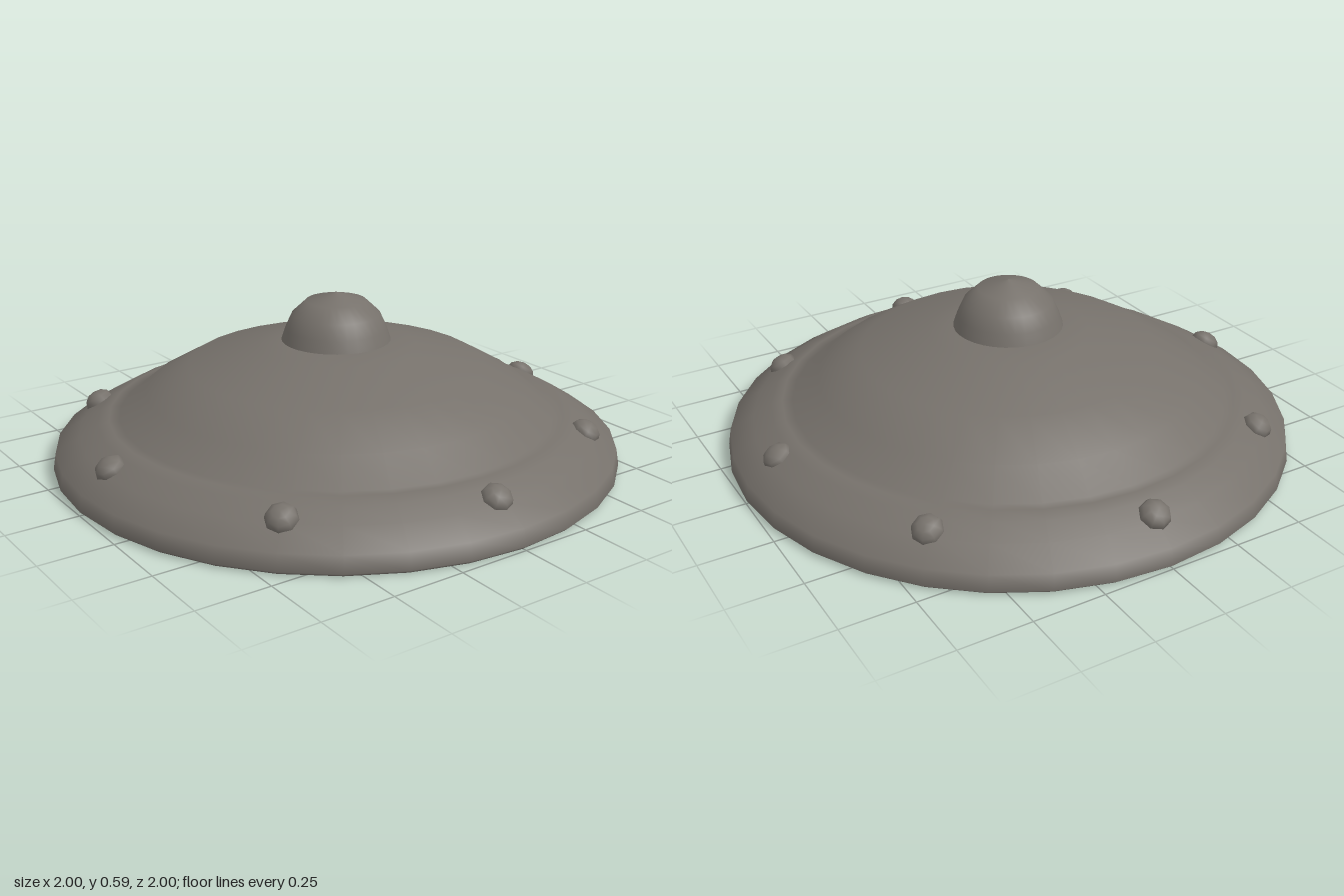
import * as THREE from 'three';

export function createModel() {
  const model = new THREE.Group();
  const metal = new THREE.MeshStandardMaterial({ color: 0x76716b });
  metal.name = 'dark iron';
  const SIDES = 32;

  function add(name, geometry, parent = model) {
    const mesh = new THREE.Mesh(geometry, metal);
    mesh.name = name;
    parent.add(mesh);
    return mesh;
  }
  // Surface of revolution from [radius, height] pairs
  const lathe = (name, pts) =>
    add(name, new THREE.LatheGeometry(pts.map(p => new THREE.Vector2(...p)), SIDES));

  // Shield body: hollow underside, rim and dome in one smooth skin
  lathe('shieldBody', [
    [0, 0.355], [0.32, 0.335], [0.53, 0.272], [0.68, 0.185], [0.97, 0.004],
    [0.985, 0], [0.998, 0.012], [0.988, 0.068], [0.905, 0.12], [0.84, 0.157], [0.8, 0.17],
    [0.765, 0.17], [0.67, 0.25], [0.52, 0.335], [0.28, 0.402], [0.18, 0.418], [0, 0.425],
  ]);

  // Central boss
  lathe('boss', [[0.192, 0.418], [0.178, 0.46], [0.155, 0.51], [0.105, 0.557], [0, 0.586]]);

  // Rivets around the rim, tilted to lie on its slope
  const rivetShape = new THREE.SphereGeometry(0.054, 8, 6);
  const spots = [[0.02, -0.87], [0.63, -0.61], [0.875, 0.015], [0.62, 0.63],
    [-0.01, 0.88], [-0.62, 0.63], [-0.885, 0.005], [-0.605, -0.635]];
  const up = new THREE.Vector3(0, 1, 0);
  for (const [x, z] of spots) {
    const rivet = add('rimRivet', rivetShape);
    rivet.position.set(x, 0.13, z);
    rivet.quaternion.setFromUnitVectors(up, new THREE.Vector3(x * 0.55, 0.85, z * 0.55).normalize());
    rivet.scale.y = 0.75;
  }

  // Grip across the inside: oval sections [z, y, half width, half thickness]
  const handle = new THREE.Group();
  handle.name = 'handle';
  handle.rotation.y = 1.455;
  model.add(handle);
  const half = [[0.66, 0.178, 0.075, 0.012], [0.6, 0.21, 0.1, 0.02], [0.49, 0.262, 0.105, 0.022],
    [0.41, 0.29, 0.06, 0.03], [0.33, 0.285, 0.058, 0.033], [0.16, 0.24, 0.062, 0.036]];
  const stations = [...half.map(([z, ...r]) => [-z, ...r]), [0, 0.225, 0.064, 0.038], ...half.slice().reverse()];
  const N = 8, pos = [], idx = [];
  for (const [z, y, w, t] of stations) {
    for (let i = 0; i < N; i++) {
      const a = (i / N) * Math.PI * 2;
      pos.push(w * Math.cos(a), y + t * Math.sin(a), z);
    }
  }
  for (let s = 0; s < stations.length - 1; s++) {
    for (let i = 0; i < N; i++) {
      const a = s * N + i, b = s * N + (i + 1) % N;
      idx.push(a, b, b + N, a, b + N, a + N);
    }
  }
  // End caps
  const last = (stations.length - 1) * N;
  for (let i = 1; i < N - 1; i++) {
    idx.push(0, i + 1, i, last, last + i, last + i + 1);
  }
  const grip = new THREE.BufferGeometry();
  grip.setAttribute('position', new THREE.Float32BufferAttribute(pos, 3));
  grip.setIndex(idx);
  grip.computeVertexNormals();
  add('grip', grip, handle);

  // Rivets holding the grip ends
  for (const side of [-1, 1]) {
    const rivet = add('gripRivet', rivetShape, handle);
    rivet.position.set(0, 0.23, side * 0.53);
    rivet.rotation.x = side * 0.45;
    rivet.scale.y = 0.75;
  }
  return model;
}
